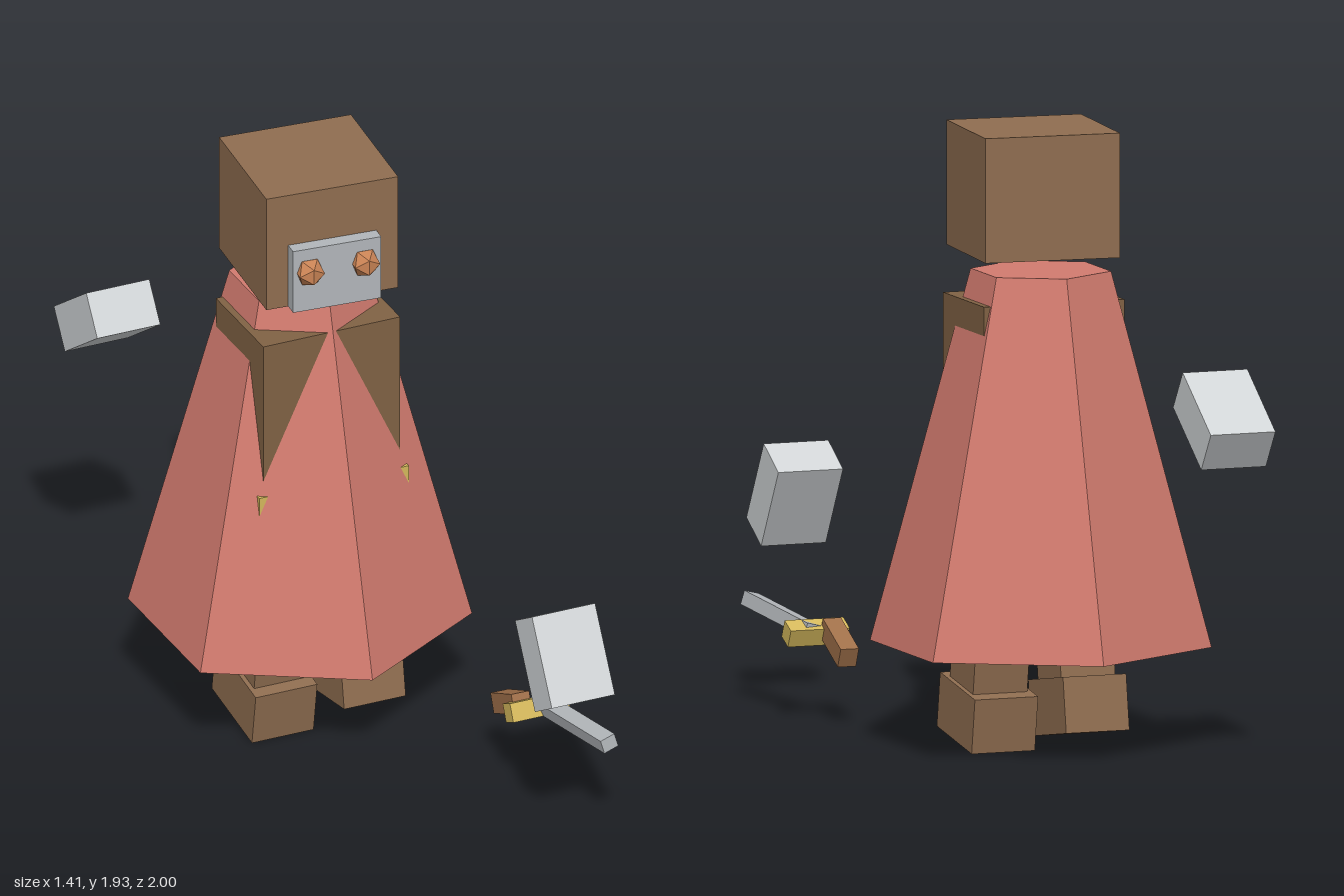
import * as THREE from 'three';

const paint = (name, color) => {
  const m = new THREE.MeshStandardMaterial({ color, flatShading: true });
  m.name = name;
  return m;
};

export function createModel() {
  const model = new THREE.Group();
  model.name = 'robedFigure';

  const skin = paint('brown', 0x8f6d50);
  const cloth = paint('darkBrown', 0x806244);
  const robeRed = paint('robeRed', 0xd27b6f);
  const glove = paint('paleGrey', 0xd0d4d6);
  const steel = paint('steel', 0xb2b6ba);
  const gold = paint('gold', 0xd4b85c);
  const copper = paint('copper', 0xc98355);
  const wood = paint('wood', 0xa0704a);

  const BODY_YAW = 0.227, HEAD_YAW = 0.14;

  // place an object with yaw first, then pitch, then roll
  const place = (obj, name, pos, yaw = 0, pitch = 0, roll = 0, parent = model) => {
    obj.name = name;
    obj.position.set(...pos);
    obj.rotation.set(pitch, yaw, roll, 'YXZ');
    parent.add(obj);
    return obj;
  };
  const box = (size, mat) => new THREE.Mesh(new THREE.BoxGeometry(...size), mat);

  // head with face plate and eyes
  const head = place(new THREE.Group(), 'headGroup', [-0.065, 1.735, -0.185], HEAD_YAW);
  place(box([0.434, 0.39, 0.43], skin), 'head', [0, 0, 0], 0, 0, 0, head);
  place(box([0.29, 0.215, 0.045], steel), 'facePlate', [0, -0.0875, 0.2375], 0, 0, 0, head);
  for (const s of [-1, 1]) {
    const eye = new THREE.Mesh(new THREE.IcosahedronGeometry(0.048, 0), copper);
    place(eye, s > 0 ? 'leftEye' : 'rightEye', [s * 0.091, -0.06, 0.262], 0, 0, 0, head);
  }

  // six-sided robe, with the torso and belt poking through it
  place(new THREE.Mesh(new THREE.CylinderGeometry(0.22, 0.535, 1.17, 6), robeRed),
    'robe', [-0.08, 0.905, -0.245], BODY_YAW);
  place(box([0.467, 0.68, 0.35], cloth), 'torso', [-0.067, 1.06, -0.185], BODY_YAW);
  place(box([0.51, 0.1, 0.385], gold), 'belt', [-0.067, 0.83, -0.185], BODY_YAW);

  // legs in mid stride
  for (const [side, x, z, pitch] of [['left', 0.085, -0.232, -0.16], ['right', -0.215, -0.135, 0.16]]) {
    const leg = place(new THREE.Group(), side + 'Leg', [x, 0.11, z], BODY_YAW, pitch);
    place(box([0.21, 0.175, 0.3], skin), side + 'Foot', [0, 0, 0], 0, 0, 0, leg);
    place(box([0.18, 0.5, 0.2], skin), side + 'Shin', [0, 0.3, 0.005], 0, 0, 0, leg);
  }

  // floating hands
  const handSize = [0.215, 0.145, 0.29];
  place(box(handSize, glove), 'rightHand', [-0.57, 1.093, -0.818], BODY_YAW, -0.6);
  place(box(handSize, glove), 'leftHand', [0.53, 0.647, 0.845], BODY_YAW, 1.04);

  // sword
  place(box([0.06, 0.065, 0.18], wood), 'swordHandle', [0.46, 0.247, 0.37], 0.2, -0.43);
  place(box([0.195, 0.06, 0.06], gold), 'swordGuard', [0.522, 0.268, 0.455], BODY_YAW, -0.45);
  place(box([0.052, 0.045, 0.43], steel), 'swordBlade', [0.604, 0.298, 0.63], 0.33, -0.11, 0.25);

  return model;
}
